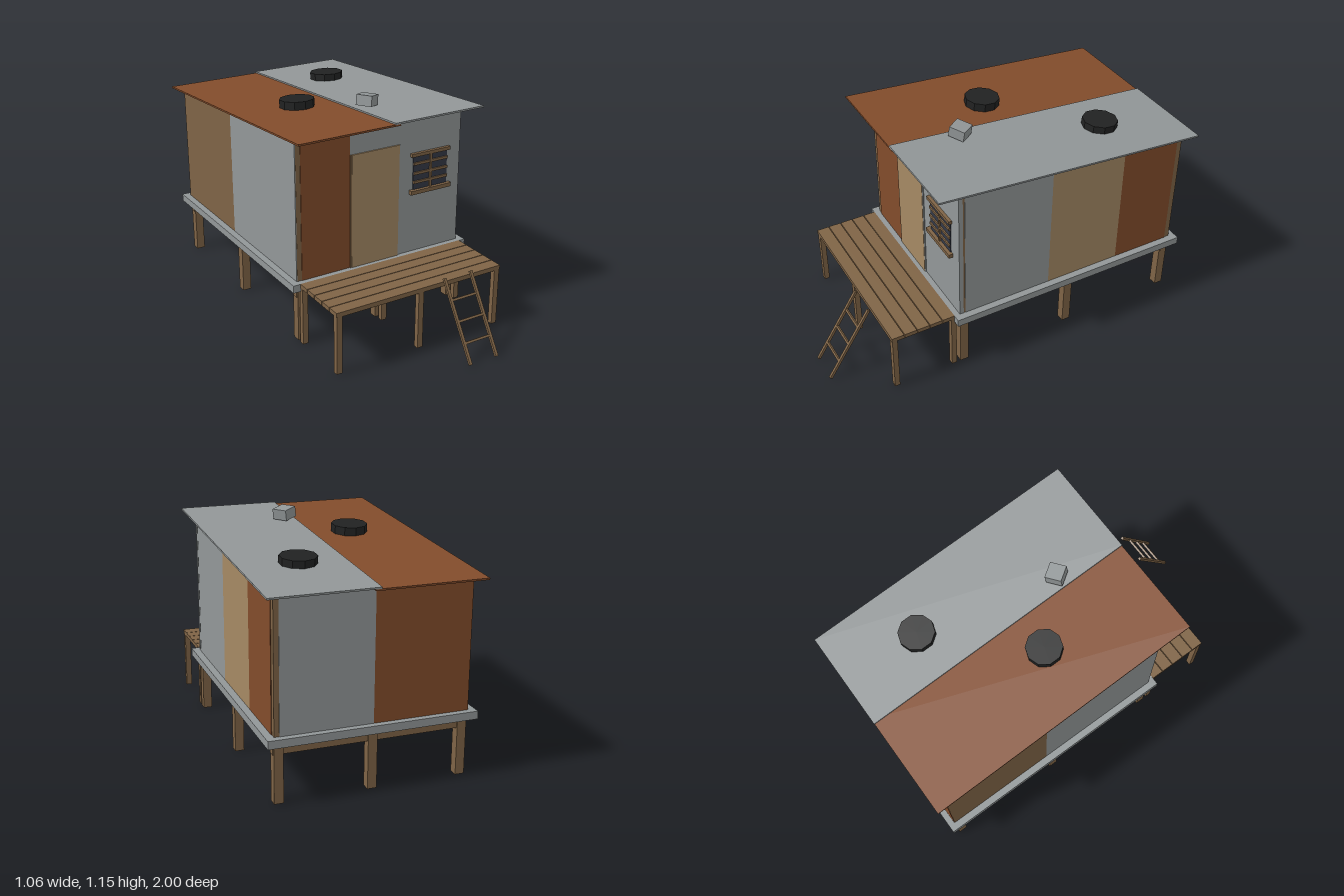
import * as THREE from 'three';

const mat = (name, color) => {
  const m = new THREE.MeshStandardMaterial({ color });
  m.name = name;
  return m;
};

export function createModel() {
  const grey = mat('sheet metal grey', 0x929798);
  const rust = mat('rust sheet', 0x824c2b);
  const wood = mat('brown wood', 0x7f6446);
  const tan = mat('tan wood', 0xa58964);
  const glass = mat('dark glass', 0x343947);
  const black = mat('black rubber', 0x212222);

  const model = new THREE.Group();
  model.name = 'stiltHut';
  const group = (name, parent = model) => {
    const g = new THREE.Group();
    g.name = name;
    parent.add(g);
    return g;
  };

  // Box given by its limits on each axis
  const box = (name, parent, m, x0, x1, y0, y1, z0, z1) => {
    const mesh = new THREE.Mesh(new THREE.BoxGeometry(x1 - x0, y1 - y0, z1 - z0), m);
    mesh.position.set((x0 + x1) / 2, (y0 + y1) / 2, (z0 + z1) / 2);
    mesh.name = name;
    parent.add(mesh);
    return mesh;
  };

  // Roof plane: falls from front to back
  const tilt = Math.atan(0.11 / 1.48);
  const roofY = z => 1.1 - (0.48 - z) * Math.tan(tilt);

  // Upright piece whose top edge follows the underside of the roof
  const wall = (name, parent, m, x0, x1, z0, z1) => {
    const mesh = box(name, parent, m, x0, x1, 0.33, 1, z0, z1);
    const p = mesh.geometry.attributes.position;
    for (let i = 0; i < p.count; i++) {
      if (p.getY(i) > 0) p.setY(i, roofY(p.getZ(i) + mesh.position.z) - 0.016 - mesh.position.y);
    }
    mesh.geometry.computeVertexNormals();
    return mesh;
  };

  // Floor slab
  box('floor', model, grey, -0.52, 0.52, 0.29, 0.33, -0.97, 0.387);

  // Stilts in three rows, with cross beams at the front and back
  const stilts = group('stilts');
  for (const z of [0.332, -0.29, -0.908]) {
    for (const x of [-0.457, 0, 0.457]) {
      box('stilt', stilts, wood, x - 0.023, x + 0.023, 0, 0.29, z - 0.023, z + 0.023);
    }
    if (z !== -0.29) box('crossBeam', stilts, wood, -0.484, 0.484, 0.24, 0.29, z - 0.017, z + 0.017);
  }

  // Corner posts
  const walls = group('walls');
  for (const x of [-0.465, 0.465]) {
    for (const z of [0.339, -0.92]) {
      wall('cornerPost', walls, wood, x - 0.015, x + 0.015, z - 0.015, z + 0.015);
    }
  }
  // Front panels
  wall('frontRustPanel', walls, rust, -0.455, -0.18, 0.335, 0.357);
  wall('frontGreyPanel', walls, grey, -0.18, 0.482, 0.335, 0.357);
  // Back panels
  wall('backRustPanel', walls, rust, -0.482, 0, -0.938, -0.916);
  wall('backGreyPanel', walls, grey, 0, 0.455, -0.938, -0.916);
  // Left side panels (+x)
  wall('leftGreyPanel', walls, grey, 0.46, 0.483, -0.16, 0.325);
  wall('leftTanPanel', walls, tan, 0.46, 0.483, -0.58, -0.16);
  wall('leftRustPanel', walls, rust, 0.46, 0.483, -0.905, -0.58);
  // Right side panels (-x)
  wall('rightGreyPanel', walls, grey, -0.484, -0.46, -0.34, 0.353);
  wall('rightWoodPanel', walls, wood, -0.484, -0.46, -0.935, -0.34);

  // Door with narrow edge strips
  const door = group('door');
  box('doorLeaf', door, tan, -0.172, 0.105, 0.33, 0.935, 0.35, 0.364);
  box('doorHingeStrip', door, wood, -0.18, -0.172, 0.33, 0.935, 0.35, 0.362);
  box('doorEdgeStrip', door, grey, 0.105, 0.113, 0.33, 0.935, 0.35, 0.362);

  // Window with lintel, sill and bars
  const win = group('window');
  box('pane', win, glass, 0.192, 0.4, 0.67, 0.86, 0.354, 0.362);
  box('lintel', win, wood, 0.176, 0.412, 0.856, 0.874, 0.35, 0.374);
  box('sill', win, wood, 0.171, 0.418, 0.655, 0.676, 0.35, 0.38);
  box('uprightBar', win, wood, 0.29, 0.302, 0.676, 0.856, 0.358, 0.37);
  for (const y of [0.716, 0.764, 0.816]) {
    box('crossBar', win, wood, 0.192, 0.4, y - 0.007, y + 0.007, 0.358, 0.369);
  }

  // Two overlapping roof sheets
  const roof = group('roof');
  roof.position.set(0, 1.045, -0.26);
  roof.rotation.x = -tilt;
  box('rustRoofSheet', roof, rust, -0.53, 0.03, -0.016, -0.007, -0.741, 0.741);
  box('greyRoofSheet', roof, grey, 0, 0.528, -0.008, 0.001, -0.742, 0.742);

  // Tyres lying on the roof
  for (const [x, z, y] of [[-0.195, -0.14, 0.015], [0.24, -0.585, 0.017]]) {
    const tyre = new THREE.Mesh(new THREE.CylinderGeometry(0.092, 0.092, 0.042, 10).toNonIndexed(), black);
    tyre.geometry.computeVertexNormals();
    tyre.name = 'roofTyre';
    tyre.position.set(x, y, z + 0.26);
    roof.add(tyre);
  }

  // Loose block on the roof
  const block = new THREE.Mesh(new THREE.BoxGeometry(0.085, 0.055, 0.085), grey);
  block.name = 'roofBlock';
  block.position.set(0.064, 1.112, 0.123);
  block.rotation.set(0, 0.6, -0.15, 'YXZ');
  model.add(block);

  // Porch deck: planks on a thin bed, with slim posts
  const deck = group('deck');
  box('deckBed', deck, wood, -0.478, 0.478, 0.307, 0.32, 0.387, 0.73);
  const n = 5, step = (0.735 - 0.387) / n;
  for (let i = 0; i < n; i++) {
    const z = 0.387 + i * step;
    box('plank', deck, wood, -0.482, 0.482, 0.31, 0.332, z, z + step - 0.004);
  }
  for (const z of [0.715, 0.39]) {
    for (const x of [-0.465, 0, 0.465]) {
      box('deckPost', deck, wood, x - 0.015, x + 0.015, 0, 0.31, z - 0.014, z + 0.014);
    }
  }

  // Ladder leaning toward the deck
  const ladder = group('ladder');
  const lean = Math.atan2(0.235, 0.365);
  const length = Math.hypot(0.235, 0.365);
  ladder.position.set(0.192, 0.185, 0.876);
  ladder.rotation.x = -lean;
  for (const x of [-0.079, 0.079]) {
    box('rail', ladder, wood, x - 0.0075, x + 0.0075, -length / 2, length / 2, -0.007, 0.007);
  }
  for (const y of [0.092, 0.183, 0.273]) {
    const t = (y - 0.185) / Math.cos(lean);
    box('rung', ladder, wood, -0.075, 0.075, t - 0.006, t + 0.006, -0.006, 0.006);
  }

  return model;
}
